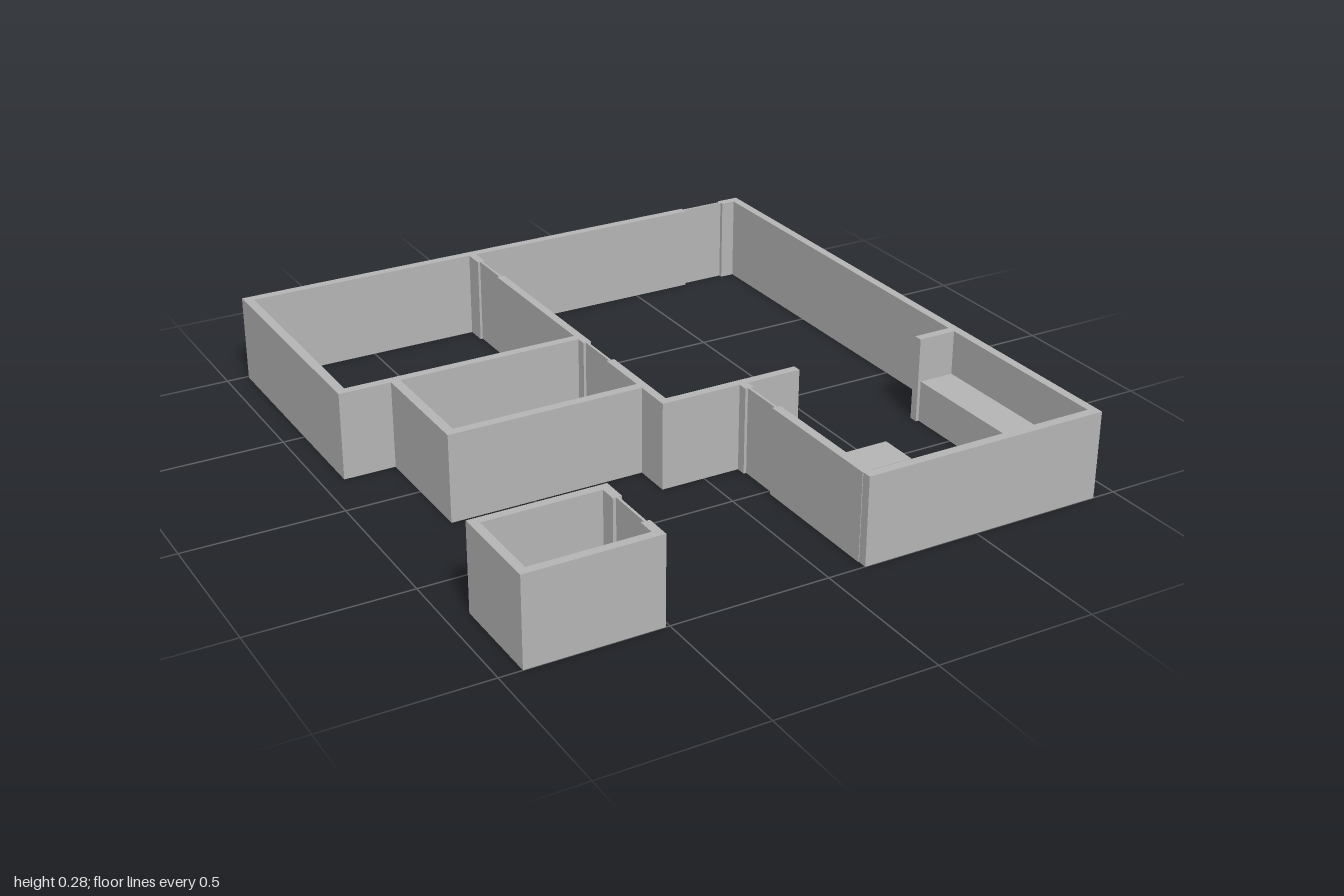
import * as THREE from 'three';
import { RoundedBoxGeometry } from 'three/addons/geometries/RoundedBoxGeometry.js';

const H = 0.28;

export function createModel() {
  const model = new THREE.Group();
  model.name = 'floorPlan';
  const gray = new THREE.MeshStandardMaterial({ color: 0xb4b4b4 });
  gray.name = 'plain gray';

  const add = (name, geometry, parent = model) => {
    const mesh = new THREE.Mesh(geometry, gray);
    mesh.name = name;
    parent.add(mesh);
    return mesh;
  };
  // Box given by its limits in x, z and y
  const block = (name, x0, x1, z0, z1, y1 = H, y0 = 0, parent = model) => {
    const mesh = add(name, new THREE.BoxGeometry(x1 - x0, y1 - y0, z1 - z0), parent);
    mesh.position.set((x0 + x1) / 2, (y0 + y1) / 2, (z0 + z1) / 2);
    return mesh;
  };

  // Walls: name, x range, z range
  const walls = [
    ['backWall', -0.93, 0.70, -0.992, -0.962],
    ['backWallEnd', 0.85, 0.925, -0.992, -0.962],
    ['rightWall', 0.897, 0.925, -0.962, 0.97],
    ['frontWall', 0.12, 0.925, 0.97, 1],
    ['bedroomSideWall', -0.93, -0.90, -0.962, -0.21],
    ['bedroomFrontWall', -0.93, -0.142, -0.21, -0.181],
    ['dividerBack', -0.142, -0.116, -0.962, -0.895],
    ['dividerMiddle', -0.142, -0.116, -0.75, -0.148],
    ['dividerFront', -0.142, -0.116, 0, 0.31],
    ['bathSideWall', -0.765, -0.735, -0.181, 0.185],
    ['bathFrontWall', -0.765, -0.142, 0.185, 0.215],
    ['hallWall', -0.142, 0.327, 0.31, 0.338],
    ['kitchenStub', 0.77, 0.897, 0.31, 0.338],
    ['kitchenSideBack', 0.118, 0.146, 0.338, 0.37],
    ['kitchenSideFront', 0.118, 0.146, 0.515, 0.97],
    ['shedBackWall', -0.93, -0.512, 0.683, 0.711],
    ['shedFrontWall', -0.93, -0.512, 0.972, 1],
    ['shedSideWall', -0.93, -0.902, 0.711, 0.972],
    ['shedDoorWallBack', -0.54, -0.512, 0.711, 0.765],
    ['shedDoorWallFront', -0.54, -0.512, 0.915, 0.972],
  ];
  walls.forEach(w => block(...w));

  // Doors: thin slab along local z with a bent lever handle on the +x side
  const lever = new THREE.CatmullRomCurve3([
    [0, 0, 0], [0.014, 0, 0], [0.02, 0, 0.003], [0.021, 0, 0.012], [0.02, 0, 0.032],
  ].map(p => new THREE.Vector3(...p)));
  const door = (name, x, z, length, turn = 0) => {
    const group = new THREE.Group();
    group.name = name;
    group.position.set(x, 0, z);
    group.rotation.y = turn;
    model.add(group);
    block('doorSlab', -0.004, 0.004, 0, length, H, 0, group);
    add('doorHandle', new THREE.TubeGeometry(lever, 12, 0.0035, 8), group).position.set(0.002, 0.145, 0.018);
    const rose = add('handlePlate', new THREE.CylinderGeometry(0.007, 0.007, 0.003, 16), group);
    rose.rotation.z = Math.PI / 2;
    rose.position.set(0.005, 0.145, 0.018);
  };
  door('bedroomDoor', -0.13, -0.895, 0.145);
  door('bathDoor', -0.13, -0.148, 0.148);
  door('kitchenDoor', 0.131, 0.37, 0.145);
  door('shedDoor', -0.526, 0.765, 0.15);
  door('entryDoor', 0.70, -0.979, 0.15, Math.PI / 2);
  // Mirror the entry door so its handle faces outward along -z
  model.getObjectByName('entryDoor').scale.x = -1;
  model.getObjectByName('entryDoor').rotation.y = -Math.PI / 2;
  model.getObjectByName('entryDoor').scale.set(-1, 1, -1);
  model.getObjectByName('entryDoor').position.set(0.70, 0, -0.979);

  // Kitchen counter
  block('sideCounter', 0.78, 0.897, 0.338, 0.97, 0.135);
  block('frontCounter', 0.44, 0.78, 0.845, 0.97, 0.135);

  // Refrigerator with two door handles
  block('refrigerator', 0.152, 0.292, 0.833, 0.952, 0.27);
  for (const [y0, y1] of [[0.10, 0.15], [0.20, 0.235]]) {
    block('refrigeratorHandle', 0.276, 0.284, 0.822, 0.833, y1, y0);
  }

  // Waste bin with pedal
  add('wasteBin', new RoundedBoxGeometry(0.078, 0.125, 0.07, 3, 0.012)).position.set(0.369, 0.0625, 0.904);
  block('binPedal', 0.357, 0.38, 0.862, 0.872, 0.012, 0.004);

  return model;
}
